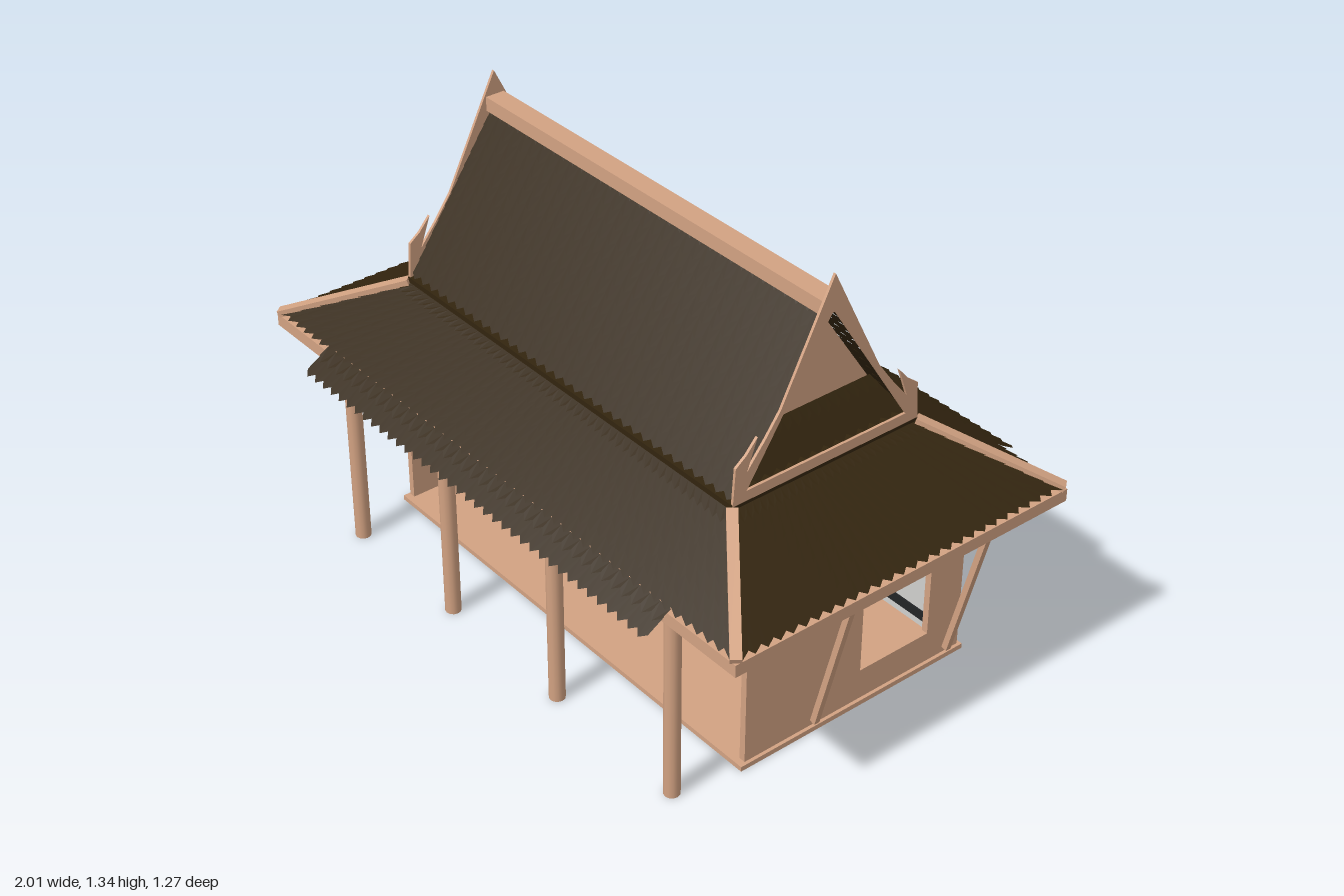
import * as THREE from 'three';

const mat = (name, color, side = THREE.FrontSide) => {
  const m = new THREE.MeshStandardMaterial({ color, side });
  m.name = name;
  return m;
};

export function createModel() {
  const root = new THREE.Group();
  root.name = 'pavilion';
  const wood = mat('wood', 0xd2a282);
  const tile = mat('roofTile', 0x33250f, THREE.DoubleSide);
  const frame = mat('darkFrame', 0x222426);
  const glass = mat('paleGlass', 0xd0d0ce);
  const V = (x, y, z) => new THREE.Vector3(x, y, z);

  const add = (name, geo, material) => {
    const m = new THREE.Mesh(geo, material);
    m.name = name;
    root.add(m);
    return m;
  };
  // Box given by its min and max on each axis
  const box = (name, material, x0, x1, y0, y1, z0, z1) => {
    const m = add(name, new THREE.BoxGeometry(x1 - x0, y1 - y0, z1 - z0), material);
    m.position.set((x0 + x1) / 2, (y0 + y1) / 2, (z0 + z1) / 2);
    return m;
  };
  // Square beam running between two points
  const beam = (name, a, b, w, h) => {
    const m = add(name, new THREE.BoxGeometry(w, h, a.distanceTo(b)), wood);
    m.position.copy(a).lerp(b, 0.5);
    m.lookAt(b);
  };
  // Flat outline drawn in (z, y), extruded along x with its outer face at x
  const sidePlate = (name, shape, x, depth) => {
    const geo = new THREE.ExtrudeGeometry(shape, { depth, bevelEnabled: false });
    const m = add(name, geo, wood);
    m.rotation.y = -Math.PI / 2;
    m.position.x = x;
  };
  const outline = (pts) => new THREE.Shape(pts.map(([a, b]) => new THREE.Vector2(a, b)));

  // Roof slope of overlapping courses with pointed tile ends
  const tileSlope = (name, tl, tr, bl, br, rows) => {
    const pos = [];
    const up = tr.clone().sub(tl).cross(tl.clone().sub(bl)).normalize();
    const at = (s, t, lift) => {
      const p = tl.clone().lerp(bl, t).lerp(tr.clone().lerp(br, t), s);
      return p.addScaledVector(up, lift);
    };
    const n = Math.max(4, Math.round(bl.distanceTo(br) / 0.04));
    const tri = (...ps) => ps.forEach((p) => pos.push(p.x, p.y, p.z));
    for (let r = 0; r < rows; r++) {
      const t0 = Math.max(0, (r - 0.5) / rows), t1 = (r + 1) / rows, tv = (r + 0.65) / rows;
      for (let i = 0; i < n; i++) {
        const a = i / n, c = (i + 0.5) / n, b = (i + 1) / n;
        const A = at(a, t0, 0), B = at(b, t0, 0);
        const L = at(a, tv, 0.003), R = at(b, tv, 0.003), P = at(c, t1, 0.004);
        tri(A, L, P, A, P, B, B, P, R);
      }
    }
    const geo = new THREE.BufferGeometry();
    geo.setAttribute('position', new THREE.Float32BufferAttribute(pos, 3));
    geo.computeVertexNormals();
    add(name, geo, tile);
  };

  // Floor and eave slab
  box('floor', wood, -0.76, 0.77, 0, 0.015, -0.465, 0.33);
  box('eaveSlab', wood, -1, 1, 0.585, 0.622, -0.56, 0.56);

  // Side walls with a large window opening
  for (const x of [0.76, -0.735]) {
    const wall = outline([[-0.455, 0.015], [0.31, 0.015], [0.31, 0.585], [-0.455, 0.585]]);
    wall.holes.push(outline([[-0.335, 0.11], [-0.335, 0.525], [-0.09, 0.525], [-0.09, 0.11]]));
    sidePlate('sideWall', wall, x, 0.02);
  }

  // Recessed front glazing with mullions, rail and crossing nodes
  box('frontGlass', glass, -0.735, 0.74, 0.015, 0.585, -0.006, 0.004);
  box('frontRail', frame, -0.735, 0.34, 0.271, 0.283, -0.012, 0.01);
  box('frontRail', frame, 0.605, 0.69, 0.271, 0.283, -0.012, 0.01);
  for (let i = 0; i < 7; i++) {
    const x = -0.725 + i * 0.2275;
    if (i !== 5) {
      box('mullion', frame, x - 0.01, x + 0.01, 0.015, 0.585, -0.012, 0.01);
      const node = add('crossingNode', new THREE.CylinderGeometry(0.026, 0.026, 0.024, 4), frame);
      node.rotation.x = Math.PI / 2;
      node.position.set(x, 0.277, 0);
    } else {
      box('mullion', frame, x - 0.01, x + 0.01, 0.535, 0.585, -0.012, 0.01);
    }
  }
  // Window panel in the front glazing
  box('windowPanel', glass, 0.34, 0.605, 0.06, 0.535, 0.004, 0.012);
  box('windowPost', frame, 0.43, 0.53, 0.06, 0.535, 0.012, 0.016);
  box('windowPostCore', tile, 0.45, 0.515, 0.085, 0.535, 0.016, 0.018);
  for (const y of [0.07, 0.405]) box('windowRail', frame, 0.34, 0.605, y - 0.012, y + 0.014, 0.012, 0.02);

  // Back glazing with heavy end posts and two rails
  box('backGlass', glass, -0.735, 0.74, 0.015, 0.585, -0.44, -0.43);
  box('backPost', frame, 0.68, 0.74, 0.015, 0.585, -0.452, -0.425);
  box('backPost', frame, -0.72, -0.665, 0.015, 0.585, -0.452, -0.425);
  for (const y of [0.055, 0.41]) box('backRail', frame, -0.735, 0.74, y - 0.015, y + 0.015, -0.45, -0.425);

  // Porch columns
  for (const x of [-0.693, -0.243, 0.236, 0.718]) {
    const c = add('porchColumn', new THREE.CylinderGeometry(0.023, 0.023, 0.59, 12), wood);
    c.position.set(x, 0.295, 0.518);
  }

  // Lower hipped roof, slanted braces and gables on both ends
  for (const s of [1, -1]) {
    tileSlope('longLowerRoof', V(-0.69 * s, 0.78, 0.31 * s), V(0.69 * s, 0.78, 0.31 * s),
      V(-1 * s, 0.625, 0.56 * s), V(1 * s, 0.625, 0.56 * s), 7);
    tileSlope('eaveExtension', V(-0.75 * s, 0.632, 0.55 * s), V(0.75 * s, 0.632, 0.55 * s),
      V(-0.75 * s, 0.575, 0.635 * s), V(0.75 * s, 0.575, 0.635 * s), 2);
    tileSlope('endLowerRoof', V(0.69 * s, 0.78, 0.31 * s), V(0.69 * s, 0.78, -0.31 * s),
      V(1 * s, 0.625, 0.56 * s), V(1 * s, 0.625, -0.56 * s), 8);
    tileSlope('upperRoof', V(-0.687 * s, 1.24, 0), V(0.687 * s, 1.24, 0),
      V(-0.687 * s, 0.795, 0.305 * s), V(0.687 * s, 0.795, 0.305 * s), 13);

    for (const z of [-1, 1])
      beam('hipBeam', V(0.69 * s, 0.782, 0.31 * z), V(0.995 * s, 0.628, 0.555 * z), 0.03, 0.02);
    for (const z of [0.075, -0.405])
      beam('eaveBrace', V(0.768 * s, 0.03, z), V(0.912 * s, 0.595, z), 0.018, 0.018);

    // Pointed gable frame with upturned lower tips
    const half = [[0.085, 1.165], [0.163, 1.01], [0.21, 0.945], [0.267, 0.875], [0.235, 0.965],
      [0.27, 0.925], [0.303, 0.9], [0.31, 0.79]];
    const gable = outline([[0, 1.335], ...half, ...half.map(([z, y]) => [-z, y]).reverse()]);
    gable.holes.push(outline([[0, 1.235], [-0.267, 0.82], [0.267, 0.82]]));
    sidePlate('gableFrame', gable, s > 0 ? 0.693 : -0.685, 0.008);

    // Recessed gable wall above a small tiled skirt
    sidePlate('gableWall', outline([[-0.285, 0.8], [0.285, 0.8], [0, 1.225]]), s > 0 ? 0.61 : -0.6, 0.01);
    tileSlope('gableSkirt', V(0.61 * s, 0.92, 0.212 * s), V(0.61 * s, 0.92, -0.212 * s),
      V(0.682 * s, 0.815, 0.28 * s), V(0.682 * s, 0.815, -0.28 * s), 3);
  }

  // Step between the two roofs, and the ridge cap
  box('roofStep', tile, -0.692, 0.692, 0.772, 0.795, -0.312, 0.312);
  box('ridgeCap', wood, -0.687, 0.687, 1.222, 1.264, -0.03, 0.03);

  return root;
}
